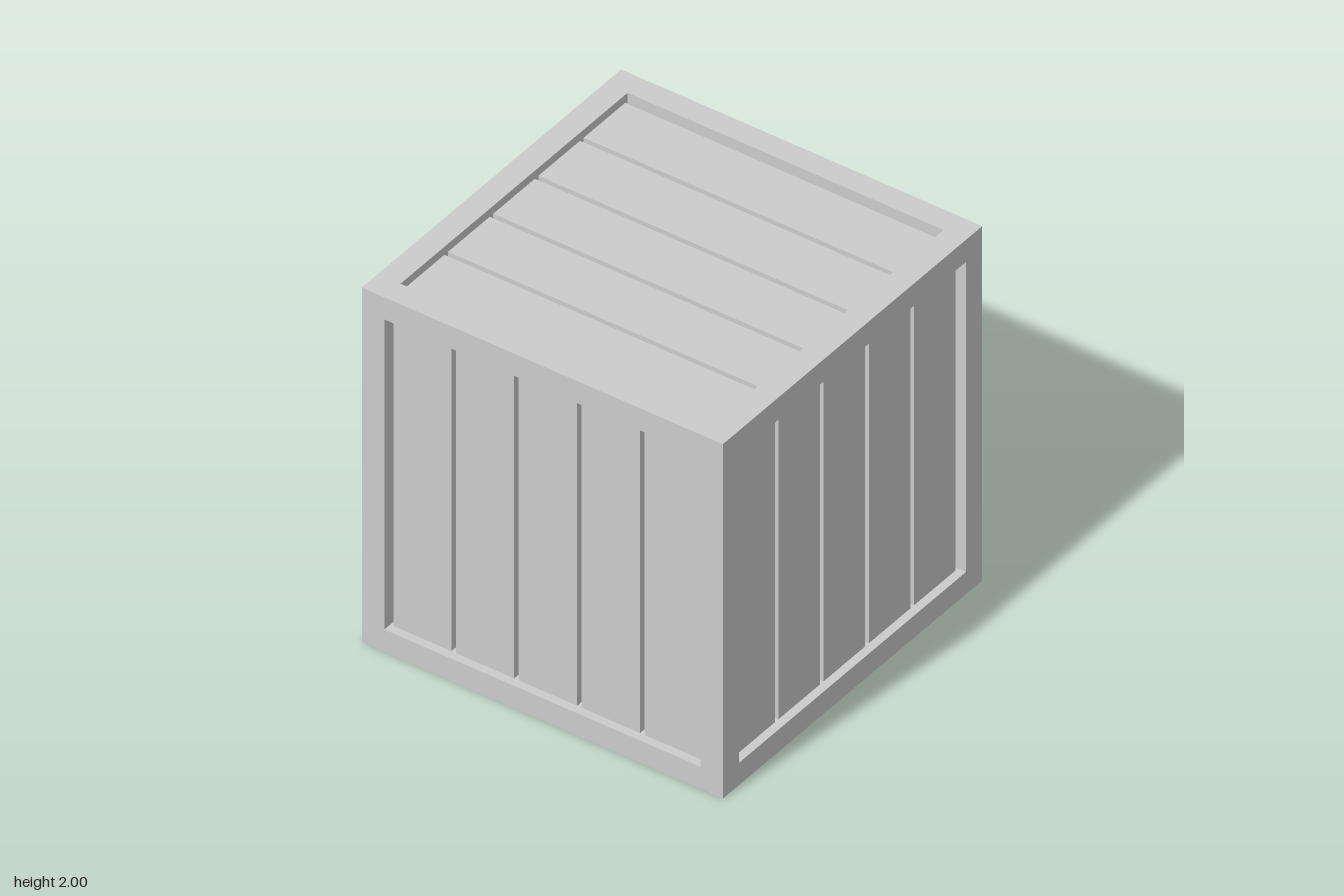
import * as THREE from 'three';

const HALF = 1;          // half the crate's edge
const BEAM = 0.125;      // square frame timber
const PLANK_FACE = 0.955; // plank surface, measured from the centre
const CORE = 0.92;       // backing surface seen in the gaps
const PLANKS = 5, PLANK_WIDTH = 0.321, PITCH = 0.3485;

export function createModel() {
  const crate = new THREE.Group();
  crate.name = 'crate';
  const material = new THREE.MeshStandardMaterial({ color: 0xcccccc });

  const addBox = (parent, name, size, position) => {
    const mesh = new THREE.Mesh(new THREE.BoxGeometry(...size), material);
    mesh.name = name;
    mesh.position.set(...position);
    parent.add(mesh);
  };

  // Everything is built around the origin, then raised onto the floor
  const body = new THREE.Group();
  body.name = 'body';
  body.position.y = HALF;
  crate.add(body);

  // Frame: four full-height posts joined by eight rails
  const frame = new THREE.Group();
  frame.name = 'frame';
  body.add(frame);
  const mid = HALF - BEAM / 2;
  const inner = 2 * (HALF - BEAM);
  for (const a of [-mid, mid]) {
    for (const b of [-mid, mid]) {
      addBox(frame, 'cornerPost', [BEAM, 2 * HALF, BEAM], [a, 0, b]);
      addBox(frame, 'widthRail', [inner, BEAM, BEAM], [0, a, b]);
      addBox(frame, 'depthRail', [BEAM, BEAM, inner], [a, b, 0]);
    }
  }

  // Backing behind the gaps between planks
  addBox(body, 'backing', [2 * CORE, 2 * CORE, 2 * CORE], [0, 0, 0]);

  // One recessed panel of five planks, turned to each of the six faces
  const thickness = PLANK_FACE - (HALF - BEAM);
  const addPanel = (name, rx, ry) => {
    const panel = new THREE.Group();
    panel.name = name;
    panel.rotation.set(rx, ry, 0);
    for (let i = 0; i < PLANKS; i++) {
      const x = (i - (PLANKS - 1) / 2) * PITCH;
      addBox(panel, 'plank', [PLANK_WIDTH, inner, thickness], [x, 0, PLANK_FACE - thickness / 2]);
    }
    body.add(panel);
  };
  const quarter = Math.PI / 2;
  addPanel('frontPanel', 0, 0);
  addPanel('leftPanel', 0, quarter);
  addPanel('backPanel', 0, 2 * quarter);
  addPanel('rightPanel', 0, -quarter);
  addPanel('topPanel', -quarter, 0);
  addPanel('bottomPanel', quarter, 0);

  return crate;
}
